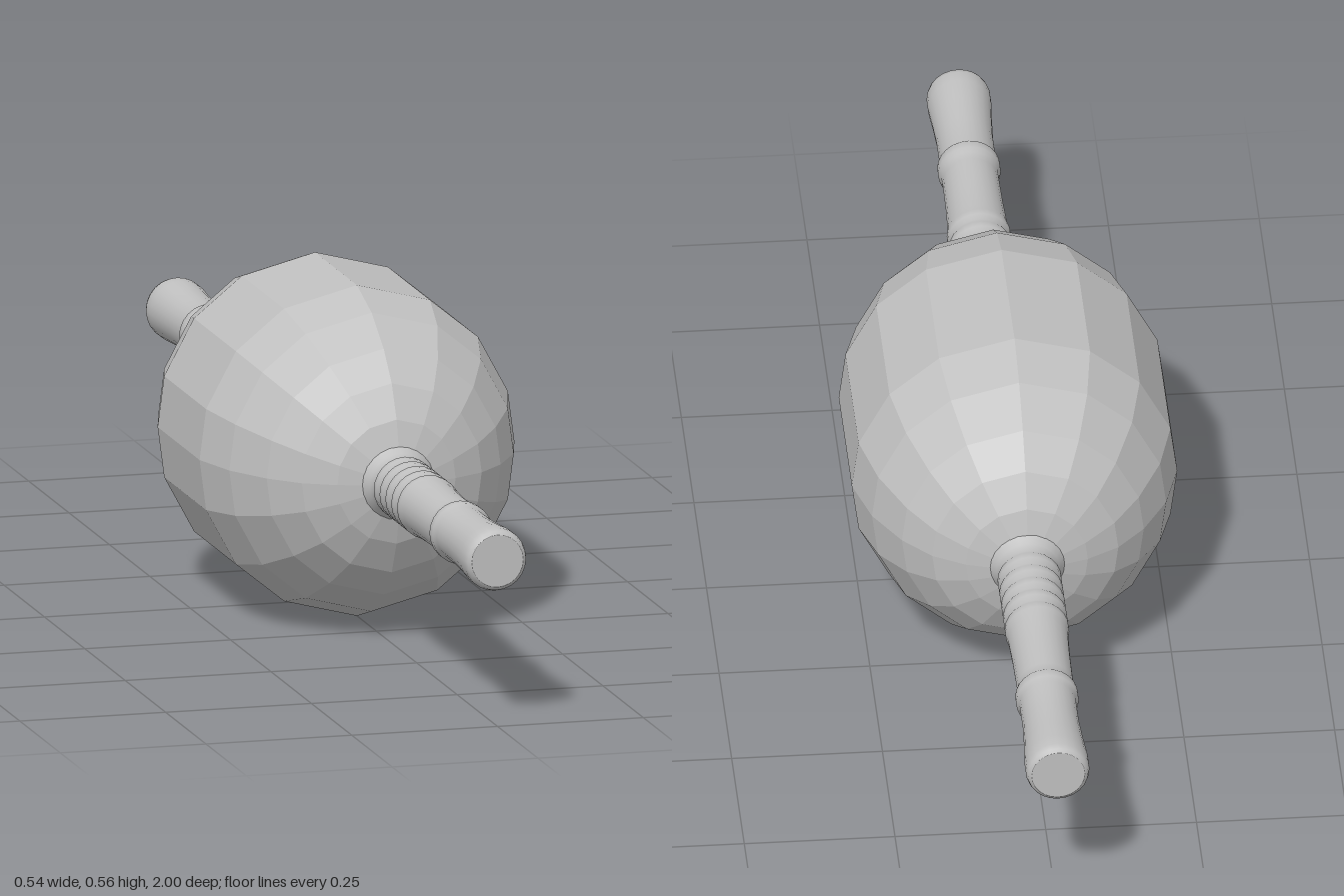
import * as THREE from 'three';

const CENTER_Y = 0.28;

// Lathe around the z axis from [z, radius] pairs given in rising z
function latheZ(profile, sides) {
  const points = profile.map(([z, r]) => new THREE.Vector2(r, z));
  return new THREE.LatheGeometry(points, sides).rotateX(Math.PI / 2);
}

// Barrel: 16 slightly uneven facets, rounded toward both ends
function barrelGeometry() {
  const half = [[0.13, 0.28], [0.22, 0.253], [0.295, 0.208], [0.345, 0.16], [0.375, 0.105], [0.388, 0.06], [0.39, 0]];
  const back = half.map(([z, r]) => [-z, r]).reverse();
  const geometry = latheZ([...back, ...half], 16);
  const angles = [0, 26.8, 49, 71.7, 90];
  const pos = geometry.attributes.position;
  for (let i = 0; i < pos.count; i++) {
    const x = pos.getX(i), y = pos.getY(i), r = Math.hypot(x, y);
    if (r < 1e-6) continue;
    const k = Math.round(Math.atan2(Math.abs(x), Math.abs(y)) / (Math.PI / 8));
    const a = THREE.MathUtils.degToRad(angles[k]);
    const radius = r * (1 - 0.009 * k);
    pos.setX(i, k === 0 ? 0 : Math.sign(x) * radius * Math.sin(a));
    pos.setY(i, k === 4 ? 0 : Math.sign(y) * radius * Math.cos(a));
  }
  const flat = geometry.toNonIndexed();
  flat.computeVertexNormals();
  return flat;
}

// Handle: flared foot, ribbed grip, middle band and flared tip
function handleGeometry() {
  const profile = [[0.365, 0.075], [0.385, 0.063], [0.4, 0.053]];
  for (let i = 0; i < 5; i++) {
    const z = 0.415 + i * 0.036;
    profile.push([z, 0.049], [z + 0.01, 0.053], [z + 0.024, 0.053]);
  }
  profile.push(
    [0.6, 0.05], [0.66, 0.048], [0.74, 0.047], [0.758, 0.048], [0.766, 0.052], [0.784, 0.052],
    [0.792, 0.047], [0.86, 0.047], [0.92, 0.05], [0.96, 0.053], [0.985, 0.053], [0.996, 0.05], [1, 0.044]
  );
  return latheZ(profile, 24);
}

export function createModel() {
  const model = new THREE.Group();
  const gray = new THREE.MeshStandardMaterial({ color: 0xc0c0c0 });
  gray.name = 'gray';

  const add = (name, geometry, turn = 0) => {
    const mesh = new THREE.Mesh(geometry, gray);
    mesh.name = name;
    mesh.position.y = CENTER_Y;
    mesh.rotation.y = turn;
    model.add(mesh);
    return mesh;
  };

  add('barrel', barrelGeometry());
  const handle = handleGeometry();
  const cap = new THREE.CircleGeometry(0.044, 24).translate(0, 0, 1);
  for (const [side, turn] of [['front', 0], ['back', Math.PI]]) {
    add(side + 'Handle', handle, turn);
    add(side + 'HandleCap', cap, turn);
  }
  return model;
}
